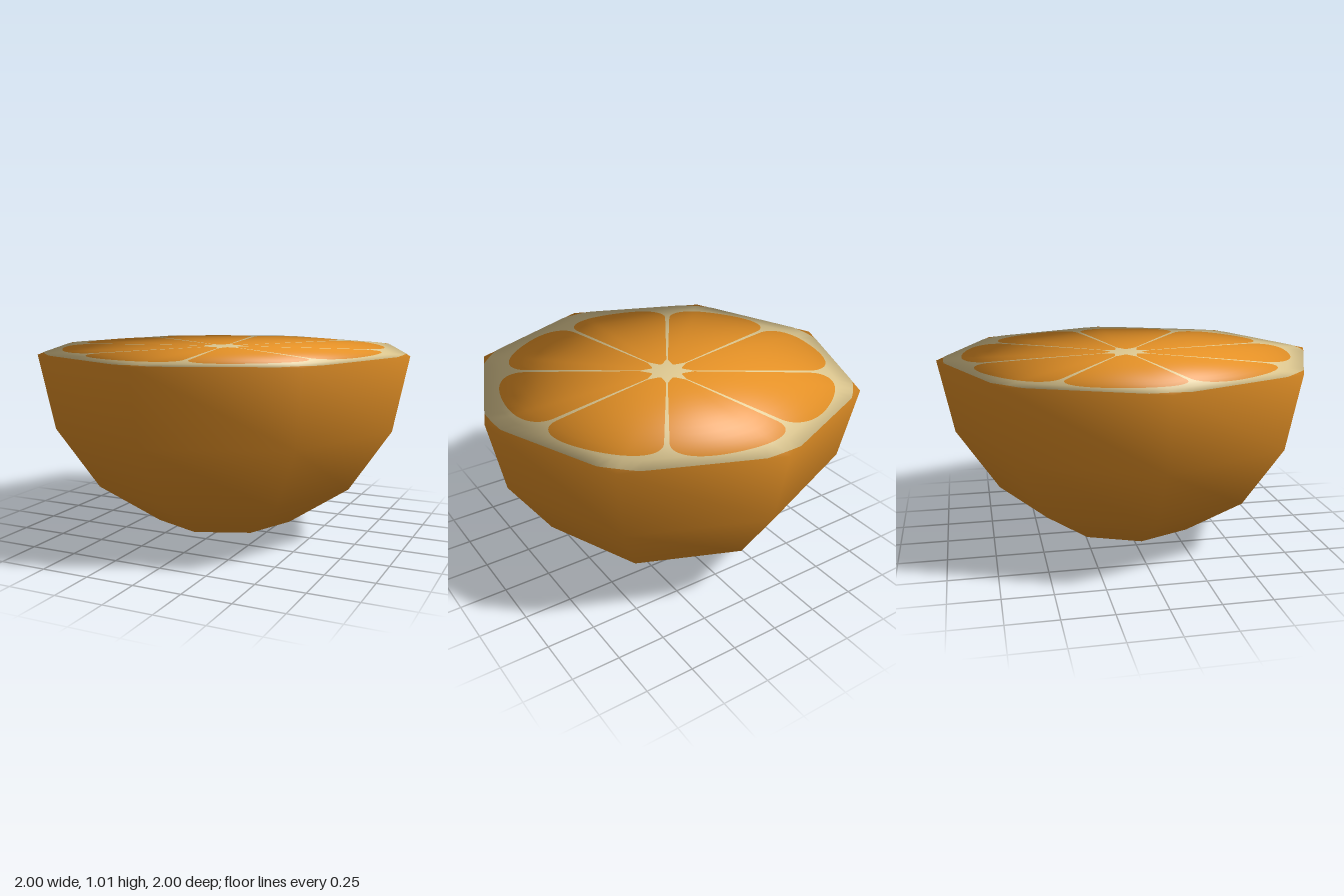
import * as THREE from 'three';

const SIDES = 8;
const STEP = (Math.PI * 2) / SIDES;

const peelMat = new THREE.MeshStandardMaterial({ color: 0xe39026 });
peelMat.name = 'orange';
const pithMat = new THREE.MeshStandardMaterial({ color: 0xe0ca92 });
pithMat.name = 'cream pith';

// Radius of the octagonal rim at an angle
function rimRadius(a) {
  const m = ((a % STEP) + STEP) % STEP;
  return Math.cos(STEP / 2) / Math.cos(m - STEP / 2);
}

// Domed patch over the cut face; polar(s, t) returns [angle, radius], t runs outward.
// Normals stay those of a full ball, so the cut shades as softly as the peel.
function domePatch(cols, rows, base, rise, polar) {
  const pos = [], nor = [], index = [];
  for (let i = 0; i <= cols; i++) {
    for (let j = 0; j <= rows; j++) {
      const [a, r] = polar(i / cols, j / rows);
      const q = Math.min(1, r / rimRadius(a));
      const up = Math.sqrt(1 - q * q);
      pos.push(r * Math.cos(a), base + rise * up, -r * Math.sin(a));
      nor.push(q * Math.cos(a), up, -q * Math.sin(a));
    }
  }
  for (let i = 0; i < cols; i++) {
    for (let j = 0; j < rows; j++) {
      const k = i * (rows + 1) + j, n = k + rows + 1;
      index.push(k, k + 1, n, n, k + 1, n + 1);
    }
  }
  const g = new THREE.BufferGeometry();
  g.setAttribute('position', new THREE.Float32BufferAttribute(pos, 3));
  g.setAttribute('normal', new THREE.Float32BufferAttribute(nor, 3));
  g.setIndex(index);
  return g;
}

export function createModel() {
  const group = new THREE.Group();
  group.name = 'halvedOrange';
  const add = (name, geometry, material) => {
    const mesh = new THREE.Mesh(geometry, material);
    mesh.name = name;
    group.add(mesh);
    return mesh;
  };

  // Lower half ball of peel
  const bowl = new THREE.SphereGeometry(1, SIDES, 4, 0, Math.PI * 2, Math.PI / 2, Math.PI / 2);
  add('peel', bowl.translate(0, 1, 0), peelMat);

  // Barely domed lid, whose corners show as peel
  add('peelRim', domePatch(SIDES, 6, 1, 0.006, (s, t) => [s * Math.PI * 2, t]), peelMat);

  // Round pith, trimmed by the straight rim edges
  add('pith', domePatch(128, 12, 1.002, 0.008, (s, t) => {
    const a = s * Math.PI * 2;
    return [a, t * Math.min(0.965, rimRadius(a))];
  }), pithMat);

  // Eight juicy segments with rounded outer corners and thin membranes between
  for (let k = 0; k < SIDES; k++) {
    const middle = THREE.MathUtils.degToRad(11.5) + (k + 0.5) * STEP;
    const segment = domePatch(32, 12, 1.005, 0.008, (s, t) => {
      const u = Math.sin((s - 0.5) * Math.PI);
      const inner = 0.085 + 0.055 * u * u;
      const outer = 0.74 + 0.125 * Math.sqrt(Math.max(0, 1 - u ** 4));
      const r = inner + (outer - inner) * t;
      const gap = (0.002 + 0.014 * r) / r;
      return [middle + u * (STEP / 2 - gap), r];
    });
    add('segment' + (k + 1), segment, peelMat).position.set(-0.01, 0, -0.01);
  }

  return group;
}
